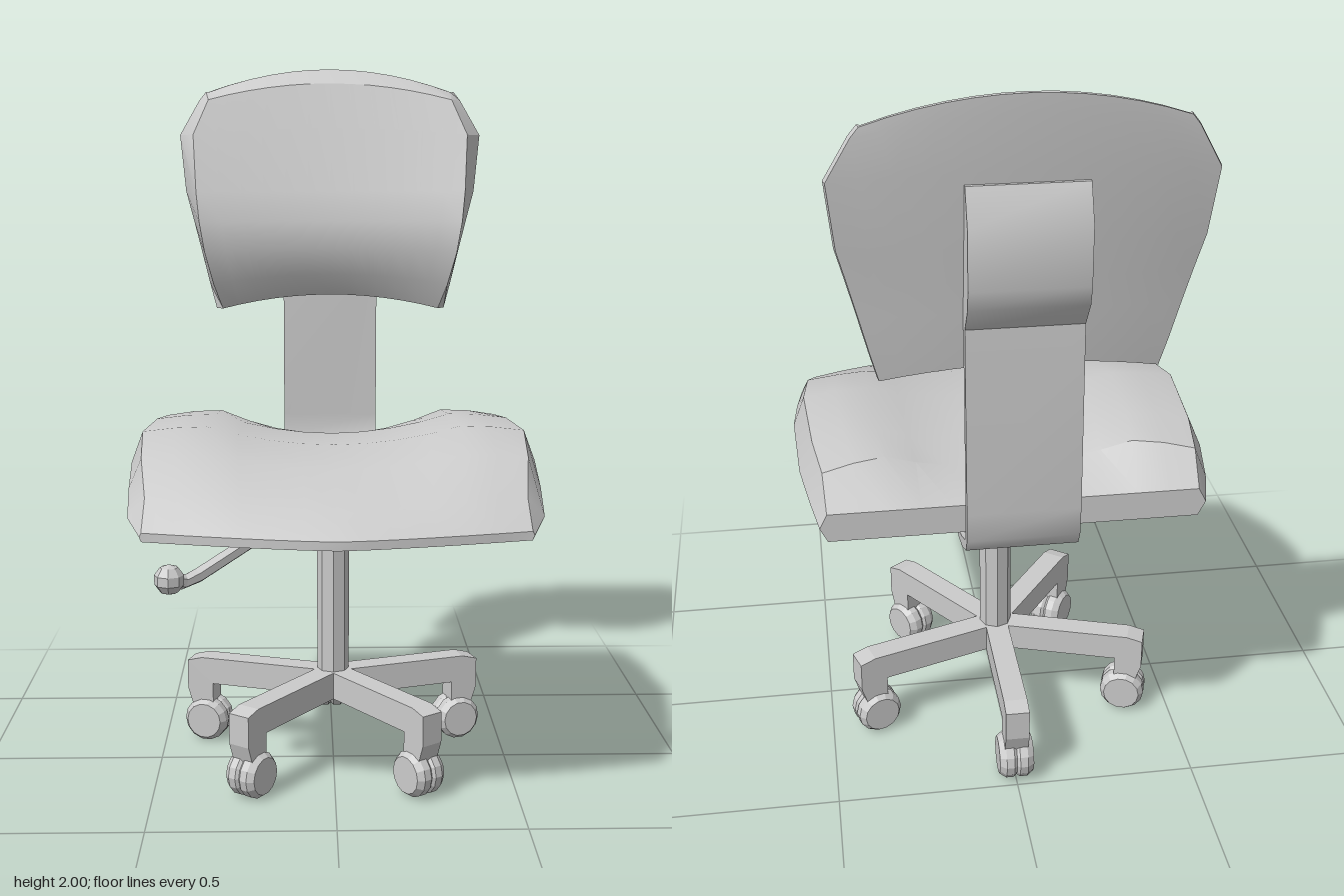
import * as THREE from 'three';
import { toCreasedNormals } from 'three/addons/utils/BufferGeometryUtils.js';

const grey = new THREE.MeshStandardMaterial({ color: 0xcccccc });
const flat = new THREE.MeshStandardMaterial({ color: 0xcccccc, flatShading: true });

function add(parent, name, geometry, material = flat) {
  const mesh = new THREE.Mesh(geometry, material);
  mesh.name = name;
  parent.add(mesh);
  return mesh;
}

// Closed cushion from rows of { face, back } points, both running from -x to +x
function cushion(rows) {
  const pos = [];
  const tri = (a, b, c) => {
    const area = b.clone().sub(a).cross(c.clone().sub(a)).length();
    if (area > 1e-8) for (const p of [a, b, c]) pos.push(p.x, p.y, p.z);
  };
  const quad = (a, b, c, d) => { tri(a, b, c); tri(a, c, d); };
  const rings = rows.map(r => [...r.face, ...[...r.back].reverse()]);
  const n = rings[0].length;
  for (let i = 0; i < rings.length - 1; i++) {
    for (let j = 0; j < n; j++) {
      const k = (j + 1) % n;
      quad(rings[i][j], rings[i + 1][j], rings[i + 1][k], rings[i][k]);
    }
  }
  const s = rows[0], e = rows[rows.length - 1];
  for (let j = 0; j < s.face.length - 1; j++) {
    quad(s.face[j], s.face[j + 1], s.back[j + 1], s.back[j]);
    quad(e.back[j], e.back[j + 1], e.face[j + 1], e.face[j]);
  }
  const g = new THREE.BufferGeometry();
  g.setAttribute('position', new THREE.Float32BufferAttribute(pos, 3));
  return toCreasedNormals(g, 0.45);
}

const across = Array.from({ length: 13 }, (_, i) => i / 6 - 1);
const V = (x, y, z) => new THREE.Vector3(x, y, z);

function seatGeometry() {
  // z, bow at the middle, rim half width, top half width, bottom half width,
  // crest y, middle y, rim y, bottom y
  const rows = [
    [-0.43, 0, 0.51, 0.49, 0.49, 0.88, 0.88, 0.84, 0.80],
    [-0.35, 0.075, 0.53, 0.495, 0.51, 0.985, 0.91, 0.87, 0.815],
    [-0.20, 0.04, 0.553, 0.515, 0.53, 0.993, 0.935, 0.885, 0.825],
    [0.06, 0.02, 0.562, 0.53, 0.535, 1.0, 0.945, 0.895, 0.832],
    [0.25, 0.05, 0.55, 0.515, 0.525, 0.955, 0.92, 0.86, 0.808],
    [0.42, 0.11, 0.535, 0.49, 0.51, 0.88, 0.855, 0.82, 0.78],
    [0.52, 0.10, 0.495, 0.49, 0.49, 0.805, 0.805, 0.795, 0.782],
  ];
  // The saddle rises to a crest near each side, then dips to the rim
  const rise = u => {
    const a = Math.abs(u);
    return a < 0.7 ? Math.pow(a / 0.7, 2) : 1 - 0.35 * (a - 0.7) / 0.3;
  };
  return cushion(rows.map(([z, bow, w, wt, wb, yt, yc, ym, yb]) => {
    const rimL = V(-w, ym, z), rimR = V(w, ym, z);
    const zAt = u => z + bow * (1 - Math.pow(Math.abs(u), 1.3));
    return {
      face: [rimL, ...across.map(u => V(u * wt, yc + (yt - yc) * rise(u), zAt(u))), rimR],
      back: [rimL, ...across.map(u => V(u * wb, yb, zAt(u))), rimR],
    };
  }));
}

function backrestGeometry() {
  // edge y, middle y, front half width, rim half width, front z, rear z at the middle
  const rows = [
    [1.93, 2.0, 0.37, 0.38, -0.545, -0.59],
    [1.905, 1.955, 0.37, 0.40, -0.49, -0.588],
    [1.80, 1.82, 0.415, 0.46, -0.45, -0.575],
    [1.63, 1.63, 0.405, 0.442, -0.395, -0.552],
    [1.54, 1.54, 0.395, 0.418, -0.37, -0.54],
    [1.45, 1.46, 0.38, 0.395, -0.37, -0.53],
    [1.35, 1.38, 0.355, 0.37, -0.40, -0.52],
    [1.275, 1.315, 0.33, 0.35, -0.44, -0.51],
  ];
  return cushion(rows.map(([ye, yc, wf, w, zf, zb]) => {
    const rim = s => V(s * w, ye, zb + 0.05);
    const yAt = u => yc + (ye - yc) * u * u;
    return {
      face: [rim(-1), ...across.map(u => V(u * wf, yAt(u), zf - 0.03 * (1 - u * u))), rim(1)],
      back: [rim(-1), ...across.map(u => V(u * w * 0.99, yAt(u), zb + 0.028 * u * u)), rim(1)],
    };
  }));
}

// Extrude a [along, y] profile, centred on its width, with "along" pointing to +z
function slab(points, width) {
  const shape = new THREE.Shape(points.map(p => new THREE.Vector2(...p)));
  const g = new THREE.ExtrudeGeometry(shape, { depth: width, bevelEnabled: false });
  return g.translate(0, 0, -width / 2).rotateY(-Math.PI / 2);
}

export function createModel() {
  const model = new THREE.Group();
  model.name = 'swivelChair';

  add(model, 'seat', seatGeometry(), grey);
  add(model, 'backrest', backrestGeometry(), grey);

  // Bent strip from under the seat up to the housing behind the backrest
  const strip = slab([
    [-0.14, 0.82], [-0.14, 0.797], [-0.28, 0.77], [-0.38, 0.757], [-0.46, 0.775], [-0.54, 0.812],
    [-0.562, 0.85], [-0.568, 0.93], [-0.557, 1.43], [-0.61, 1.5], [-0.622, 1.55], [-0.622, 1.7],
    [-0.58, 1.79], [-0.55, 1.79], [-0.525, 1.44], [-0.54, 0.93], [-0.538, 0.86], [-0.525, 0.835],
    [-0.45, 0.8], [-0.38, 0.782], [-0.28, 0.795],
  ], 0.29);
  add(model, 'backSupport', toCreasedNormals(strip, 0.6), grey);

  // Tilt lever with knob
  const lever = new THREE.CurvePath();
  const path = [V(0, 0.80, -0.03), V(-0.40, 0.597, 0.235), V(-0.445, 0.615, 0.27)];
  for (let i = 0; i < 2; i++) lever.add(new THREE.LineCurve3(path[i], path[i + 1]));
  add(model, 'lever', new THREE.TubeGeometry(lever, 12, 0.021, 6));
  add(model, 'leverKnob', new THREE.SphereGeometry(0.042, 8, 5)).position.copy(path[2]);

  // Column and five-legged base
  const base = new THREE.Group();
  base.name = 'base';
  base.position.z = -0.05;
  model.add(base);
  const column = [[0, 0.18], [0.046, 0.18], [0.046, 0.715], [0.06, 0.75], [0.06, 0.835], [0, 0.835]];
  add(base, 'column', new THREE.LatheGeometry(column.map(p => new THREE.Vector2(...p)), 8));

  const legGeometry = slab([
    [0, 0.18], [0, 0.258], [0.40, 0.258], [0.445, 0.246], [0.445, 0.16], [0.425, 0.1],
    [0.365, 0.1], [0.365, 0.18],
  ], 0.066);
  const wheelProfile = [[0, -0.048], [0.052, -0.048], [0.065, -0.03], [0.065, -0.008], [0.058, 0],
    [0.065, 0.008], [0.065, 0.03], [0.052, 0.048], [0, 0.048]];
  const wheelGeometry = new THREE.LatheGeometry(wheelProfile.map(p => new THREE.Vector2(...p)), 14);
  wheelGeometry.rotateZ(Math.PI / 2);
  for (let i = 0; i < 5; i++) {
    const leg = new THREE.Group();
    leg.name = 'leg' + (i + 1);
    leg.rotation.y = Math.PI + i * Math.PI * 0.4;
    add(leg, 'legArm', legGeometry);
    add(leg, 'caster', wheelGeometry).position.set(0, 0.066, 0.39);
    base.add(leg);
  }
  return model;
}
